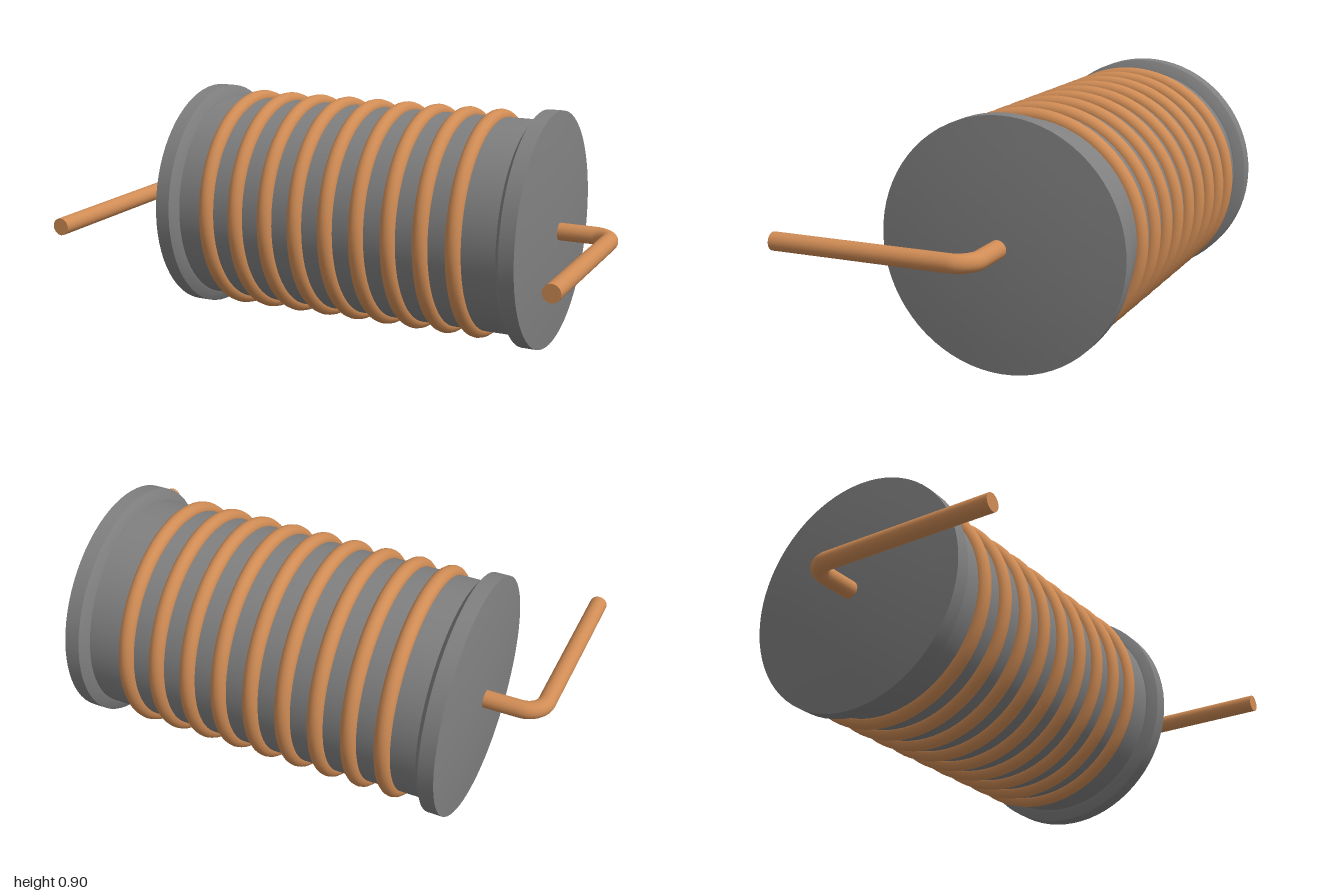
import * as THREE from 'three';
import { toCreasedNormals } from 'three/addons/utils/BufferGeometryUtils.js';

const AXIS_Y = 0.452, AXIS_Z = -0.149;
const CORE_R = 0.41, FLANGE_R = 0.451, WIRE_R = 0.033;

export function createModel() {
  const model = new THREE.Group();
  model.name = 'coilInductor';
  const coreMat = new THREE.MeshStandardMaterial({ color: 0x808080 });
  const copperMat = new THREE.MeshStandardMaterial({ color: 0xd08c55 });

  const add = (name, geometry, material, parent = model) => {
    const mesh = new THREE.Mesh(geometry, material);
    mesh.name = name;
    parent.add(mesh);
    return mesh;
  };

  // Everything that shares the bobbin axis
  const bobbin = new THREE.Group();
  bobbin.name = 'bobbin';
  bobbin.position.set(0, AXIS_Y, AXIS_Z);
  model.add(bobbin);

  // Core: half profile from the domed end to the flange foot, then mirrored
  const half = [];
  for (let i = 0; i <= 6; i++) {
    const t = i / 6;
    half.push([FLANGE_R * t, 0.76 - 0.024 * t * t]);
  }
  half.push([FLANGE_R, 0.678], [0.418, 0.657], [CORE_R, 0.655]);
  const profile = [
    ...half.map(([r, x]) => new THREE.Vector2(r, -x)),
    ...half.reverse().map(([r, x]) => new THREE.Vector2(r, x)),
  ];
  const core = new THREE.LatheGeometry(profile, 72).rotateZ(-Math.PI / 2);
  add('core', toCreasedNormals(core, 0.4), coreMat, bobbin);

  // Nine separate turns of wire
  const turn = new THREE.TorusGeometry(CORE_R, 0.03, 14, 72).rotateY(Math.PI / 2);
  for (let i = 0; i < 9; i++) {
    add(`wireTurn${i + 1}`, turn, copperMat, bobbin).position.x = -0.53 + i * 0.128;
  }

  // Bent leads, one out of each end
  for (const side of [1, -1]) {
    const lead = new THREE.Group();
    lead.name = side > 0 ? 'leftLead' : 'rightLead';
    model.add(lead);
    const v = (x, z) => new THREE.Vector3(side * x, AXIS_Y, z);
    const endX = 0.967, bend = 0.075, k = bend * 0.448;
    const path = new THREE.CurvePath();
    path.add(new THREE.LineCurve3(v(0.7, AXIS_Z), v(endX - bend, AXIS_Z)));
    path.add(new THREE.CubicBezierCurve3(
      v(endX - bend, AXIS_Z), v(endX - k, AXIS_Z),
      v(endX, AXIS_Z + k), v(endX, AXIS_Z + bend)));
    path.add(new THREE.LineCurve3(v(endX, AXIS_Z + bend), v(endX, 0.6)));
    add('leadWire', new THREE.TubeGeometry(path, 90, WIRE_R, 20), copperMat, lead);
    add('leadTip', new THREE.CircleGeometry(WIRE_R, 20), copperMat, lead)
      .position.set(side * endX, AXIS_Y, 0.6);
  }

  return model;
}
